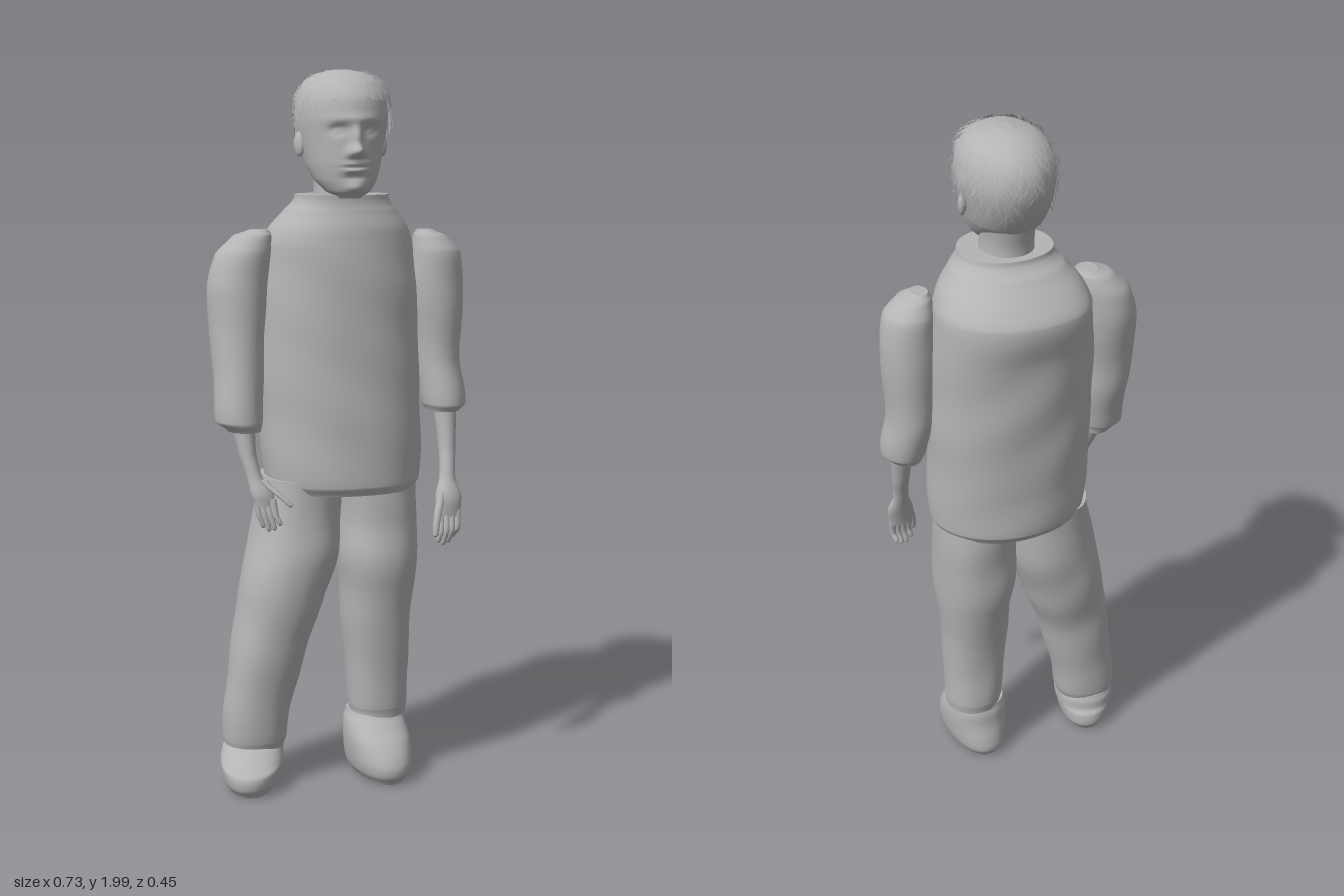
import * as THREE from 'three';

const grey = new THREE.MeshStandardMaterial({ color: 0xb4b4b4 });
grey.name = 'plain grey';
const greyThin = new THREE.MeshStandardMaterial({ color: 0xb4b4b4, side: THREE.DoubleSide });
greyThin.name = 'plain grey thin';

// Catmull-Rom blend through rows of numbers
function smoothRows(rows, steps) {
  const out = [];
  for (let i = 0; i < rows.length - 1; i++) {
    const a = rows[Math.max(i - 1, 0)], b = rows[i], c = rows[i + 1], d = rows[Math.min(i + 2, rows.length - 1)];
    for (let s = 0; s < steps; s++) {
      const t = s / steps;
      out.push(b.map((_, k) => k === 0 ? b[0] + (c[0] - b[0]) * t
        : 0.5 * (2 * b[k] + (c[k] - a[k]) * t + (2 * a[k] - 5 * b[k] + 4 * c[k] - d[k]) * t * t
          + (3 * b[k] - a[k] - 3 * c[k] + d[k]) * t * t * t)));
    }
  }
  out.push(rows[rows.length - 1]);
  return out;
}

// Closed skin through rings [y, centreX, centreZ, radiusX, radiusZ], lowest first
function loft(name, rows, { segs = 32, steps = 5, power = 2, warp = null } = {}) {
  const rings = smoothRows(rows, steps), pos = [], idx = [];
  const addRing = ([y, cx, cz, rx, rz]) => {
    for (let i = 0; i < segs; i++) {
      const a = i / segs * Math.PI * 2, c = Math.cos(a), s = Math.sin(a), e = 2 / power;
      const p = new THREE.Vector3(cx + rx * Math.sign(c) * Math.abs(c) ** e, y, cz + rz * Math.sign(s) * Math.abs(s) ** e);
      if (warp) warp(p, c, s);
      pos.push(p.x, p.y, p.z);
    }
  };
  rings.forEach(addRing);
  for (let j = 0; j < rings.length - 1; j++) for (let i = 0; i < segs; i++) {
    const n = (i + 1) % segs, a = j * segs + i, b = j * segs + n;
    idx.push(a, a + segs, b, b, a + segs, b + segs);
  }
  // flat end caps with their own vertices
  [[rings[0], 1], [rings[rings.length - 1], -1]].forEach(([r, dir]) => {
    const base = pos.length / 3, mid = base + segs;
    addRing(r);
    pos.push(r[1], r[0], r[2]);
    for (let i = 0; i < segs; i++) {
      const a = base + i, b = base + (i + 1) % segs;
      if (dir > 0) idx.push(mid, a, b); else idx.push(mid, b, a);
    }
  });
  const g = new THREE.BufferGeometry();
  g.setAttribute('position', new THREE.Float32BufferAttribute(pos, 3));
  g.setIndex(idx);
  g.computeVertexNormals();
  const m = new THREE.Mesh(g, grey);
  m.name = name;
  return m;
}

// Soft folds in the cloth
const folds = (amp) => (p, c, s) => {
  const f = amp * (Math.sin(p.y * 31 + p.x * 14) + Math.sin(p.y * 17 - p.z * 25 + p.x * 23));
  p.x += c * f;
  p.z += s * f;
};

// Tapered finger from a root to a lower tip
const finger = (name, root, mid, tip, r) => loft(name, [
  [tip[1], tip[0], tip[2], r * 0.35, r * 0.35], [tip[1] + 0.006, tip[0], tip[2], r * 0.8, r * 0.8],
  [mid[1], mid[0], mid[2], r, r], [root[1], root[0], root[2], r * 1.1, r * 1.1]], { segs: 10, steps: 4 });

const headRows = [
  [1.652, 0.005, 0.115, 0.03, 0.04], [1.67, 0.005, 0.1, 0.06, 0.068], [1.70, 0.005, 0.075, 0.084, 0.1],
  [1.74, 0.005, 0.048, 0.1, 0.133], [1.80, 0.007, 0.028, 0.113, 0.153], [1.86, 0.01, 0.02, 0.122, 0.165],
  [1.92, 0.01, 0.016, 0.117, 0.157], [1.96, 0.01, 0.014, 0.095, 0.125], [1.982, 0.01, 0.012, 0.06, 0.08],
  [1.99, 0.01, 0.012, 0.02, 0.03]];

// Face relief: [x, y, width, height, depth]
const bumps = [[0, 1.778, 0.017, 0.017, 0.042], [0, 1.812, 0.013, 0.026, 0.022], [0, 1.862, 0.07, 0.012, 0.006],
  [0.045, 1.833, 0.022, 0.014, -0.016], [-0.045, 1.833, 0.022, 0.014, -0.016],
  [0.045, 1.831, 0.012, 0.007, 0.008], [-0.045, 1.831, 0.012, 0.007, 0.008],
  [0.018, 1.772, 0.01, 0.01, 0.01], [-0.018, 1.772, 0.01, 0.01, 0.01],
  [0, 1.744, 0.03, 0.006, 0.01], [0, 1.727, 0.026, 0.006, 0.01], [0, 1.736, 0.034, 0.003, -0.005],
  [0, 1.708, 0.03, 0.008, -0.006], [0, 1.68, 0.028, 0.014, 0.01]];
function faceWarp(p, c, s) {
  if (s <= 0) return;
  const x = p.x - 0.006;
  for (const [bx, by, w, h, d] of bumps) p.z += d * Math.exp(-(((x - bx) / w) ** 2) - ((p.y - by) / h) ** 2);
}

// Point above the skull at angle a and height y
const skull = smoothRows(headRows, 8);
function skullPoint(a, y, lift) {
  let j = 0;
  while (j < skull.length - 2 && skull[j + 1][0] < y) j++;
  const A = skull[j], B = skull[j + 1], t = THREE.MathUtils.clamp((y - A[0]) / (B[0] - A[0]), 0, 1);
  const [, cx, cz, rx, rz] = A.map((v, k) => v + (B[k] - v) * t);
  return [cx + Math.cos(a) * (rx + lift), y + lift * Math.max(0, (y - 1.9) * 9), cz + Math.sin(a) * (rz + lift)];
}
// Hairline: high over the face, lower at the ears, lowest at the nape
const hairline = (a) => {
  const s = Math.sin(a);
  return s > 0 ? 1.83 + 0.1 * Math.min(1, s * 1.5) : 1.83 + 0.1 * s;
};

function hair() {
  const g = new THREE.Group();
  g.name = 'hair';
  // close cap
  const segs = 48, rows = 14, pos = [], idx = [];
  for (let j = 0; j <= rows; j++) for (let i = 0; i < segs; i++) {
    const a = i / segs * Math.PI * 2, y0 = hairline(a), t = Math.sin(j / rows * Math.PI / 2);
    pos.push(...skullPoint(a, y0 + (1.99 - y0) * t, 0.005));
    if (j < rows) {
      const b = j * segs + i, n = j * segs + (i + 1) % segs;
      idx.push(b, b + segs, n, n, b + segs, n + segs);
    }
  }
  const cap = new THREE.BufferGeometry();
  cap.setAttribute('position', new THREE.Float32BufferAttribute(pos, 3));
  cap.setIndex(idx);
  cap.computeVertexNormals();
  // thin crossing locks
  let seed = 7;
  const rnd = () => (seed = (seed * 16807) % 2147483647) / 2147483647;
  const sp = [], si = [];
  for (let k = 0; k < 330; k++) {
    const a0 = rnd() * Math.PI * 2, low = hairline(a0), y0 = low + (1.985 - low) * Math.sqrt(rnd());
    const turn = (rnd() - 0.5) * 0.8, drop = 0.03 + rnd() * 0.06, w = 0.012 + rnd() * 0.02, lift = 0.006 + rnd() * 0.007;
    for (let j = 0; j <= 4; j++) {
      const t = j / 4, a = a0 + turn * t, y = Math.max(y0 - drop * t, low - 0.02), h = w * (1 - 0.7 * t);
      const out = lift + 0.006 * t;
      sp.push(...skullPoint(a - h, y, out), ...skullPoint(a + h, y, out));
      if (j < 4) {
        const b = k * 10 + j * 2;
        si.push(b, b + 1, b + 2, b + 1, b + 3, b + 2);
      }
    }
  }
  const locks = new THREE.BufferGeometry();
  locks.setAttribute('position', new THREE.Float32BufferAttribute(sp, 3));
  locks.setIndex(si);
  locks.computeVertexNormals();
  [['hairCap', cap], ['hairLocks', locks]].forEach(([name, geo]) => {
    const m = new THREE.Mesh(geo, greyThin);
    m.name = name;
    g.add(m);
  });
  return g;
}

// Rounded shoe, toe toward +z, turned outward
function shoe(name, x, z, height, turn) {
  const h = height;
  const m = loft(name, [[0, 0, 0.005, 0.062, 0.125], [0.025, 0, 0.005, 0.078, 0.142], [0.06, 0, 0.005, 0.086, 0.14],
    [h * 0.62, 0, -0.005, 0.09, 0.118], [h * 0.85, 0, -0.025, 0.085, 0.095], [h, 0, -0.035, 0.075, 0.078]], { power: 2.2 });
  m.position.set(x, 0, z);
  m.rotation.y = turn;
  return m;
}

export function createModel() {
  const g = new THREE.Group();
  g.name = 'standingFigure';

  // Head and neck
  g.add(loft('head', headRows, { segs: 96, steps: 10, warp: faceWarp }));
  g.add(loft('neck', [[1.6, 0.008, 0.015, 0.08, 0.085], [1.68, 0.006, 0.015, 0.072, 0.08], [1.76, 0.006, 0.0, 0.075, 0.08]]));
  for (const s of [-1, 1]) {
    const ear = new THREE.Mesh(new THREE.SphereGeometry(1, 16, 12), grey);
    ear.name = s > 0 ? 'leftEar' : 'rightEar';
    ear.scale.set(0.012, 0.034, 0.022);
    ear.position.set(0.008 + s * 0.118, 1.795, 0.02);
    ear.rotation.set(-0.15, s * -0.3, 0);
    g.add(ear);
  }
  g.add(hair());

  // Smock with a short collar
  g.add(loft('smock', [[0.84, 0.018, 0.003, 0.208, 0.168], [0.865, 0.016, 0, 0.222, 0.182], [1.0, 0.012, -0.004, 0.228, 0.181],
    [1.2, 0.01, -0.014, 0.23, 0.18], [1.4, 0.01, -0.022, 0.227, 0.183], [1.52, 0.01, -0.034, 0.215, 0.188],
    [1.57, 0.01, -0.018, 0.192, 0.167], [1.62, 0.01, 0.003, 0.155, 0.132], [1.642, 0.01, 0.016, 0.136, 0.114],
    [1.66, 0.01, 0.02, 0.13, 0.11]], { segs: 56, steps: 6, power: 2.15, warp: folds(0.0015) }));

  // Sleeves
  g.add(loft('leftSleeve', [[1.055, 0.295, 0.052, 0.05, 0.068], [1.075, 0.298, 0.052, 0.063, 0.079], [1.2, 0.283, 0.03, 0.065, 0.08],
    [1.4, 0.28, 0.03, 0.08, 0.083], [1.5, 0.274, 0.033, 0.07, 0.078], [1.545, 0.258, 0.035, 0.044, 0.052],
    [1.56, 0.245, 0.035, 0.022, 0.03]], { warp: folds(0.0015) }));
  g.add(loft('rightSleeve', [[1.022, -0.28, 0.072, 0.045, 0.06], [1.05, -0.293, 0.068, 0.066, 0.076], [1.2, -0.29, 0.035, 0.07, 0.083],
    [1.4, -0.283, 0.005, 0.083, 0.086], [1.5, -0.265, 0, 0.078, 0.08], [1.55, -0.238, 0, 0.05, 0.055],
    [1.564, -0.22, 0, 0.025, 0.03]], { warp: folds(0.0015) }));

  // Forearms with palms
  g.add(loft('leftForearm', [[0.765, 0.285, 0.15, 0.034, 0.014], [0.82, 0.287, 0.142, 0.038, 0.022], [0.87, 0.29, 0.122, 0.023, 0.022],
    [0.95, 0.298, 0.092, 0.024, 0.028], [1.09, 0.3, 0.058, 0.034, 0.042]], { segs: 20 }));
  g.add(loft('rightForearm', [[0.825, -0.242, 0.155, 0.028, 0.016], [0.86, -0.25, 0.147, 0.031, 0.022], [0.9, -0.266, 0.13, 0.022, 0.022],
    [0.96, -0.28, 0.108, 0.024, 0.028], [1.06, -0.288, 0.08, 0.034, 0.042]], { segs: 20 }));

  // Fingers and thumbs
  for (let i = 0; i < 4; i++) {
    const lx = 0.259 + i * 0.017, e = [0.01, 0, 0.004, 0.018][i];
    g.add(finger('leftFinger', [lx, 0.785, 0.15], [lx - 0.002, 0.73, 0.17 - i * 0.004], [lx - 0.008, 0.685 + e, 0.168 - i * 0.008], 0.0095));
    const rx = -0.265 + i * 0.014;
    g.add(finger('rightFinger', [rx, 0.845, 0.148 + i * 0.005], [rx + 0.006, 0.8, 0.155 + i * 0.006], [rx + 0.016, 0.755 + e, 0.158 + i * 0.007], 0.009));
  }
  g.add(finger('leftThumb', [0.267, 0.835, 0.145], [0.247, 0.775, 0.17], [0.238, 0.715, 0.182], 0.011));
  g.add(finger('rightThumb', [-0.246, 0.895, 0.145], [-0.212, 0.86, 0.172], [-0.182, 0.825, 0.19], 0.011));

  // Trouser legs
  g.add(loft('leftTrouser', [[0.17, 0.117, 0.015, 0.08, 0.082], [0.2, 0.117, 0.015, 0.084, 0.087], [0.4, 0.112, 0.02, 0.094, 0.1],
    [0.55, 0.112, 0.016, 0.105, 0.126], [0.65, 0.112, 0.012, 0.116, 0.142], [0.75, 0.112, 0.004, 0.115, 0.138],
    [0.88, 0.112, 0, 0.115, 0.14]], { segs: 40, power: 2.2, warp: folds(0.0015) }));
  g.add(loft('rightTrouser', [[0.1, -0.25, 0.022, 0.082, 0.078], [0.13, -0.248, 0.022, 0.09, 0.085], [0.25, -0.234, 0.025, 0.097, 0.094],
    [0.4, -0.205, 0.028, 0.108, 0.11], [0.55, -0.165, 0.022, 0.122, 0.132], [0.65, -0.138, 0.016, 0.13, 0.143],
    [0.75, -0.118, 0.006, 0.123, 0.138], [0.88, -0.105, 0, 0.113, 0.14]], { segs: 40, power: 2.2, warp: folds(0.0015) }));

  // Shoes
  g.add(shoe('leftShoe', 0.108, 0.05, 0.18, 0.1));
  g.add(shoe('rightShoe', -0.262, 0.05, 0.12, -0.28));
  return g;
}
